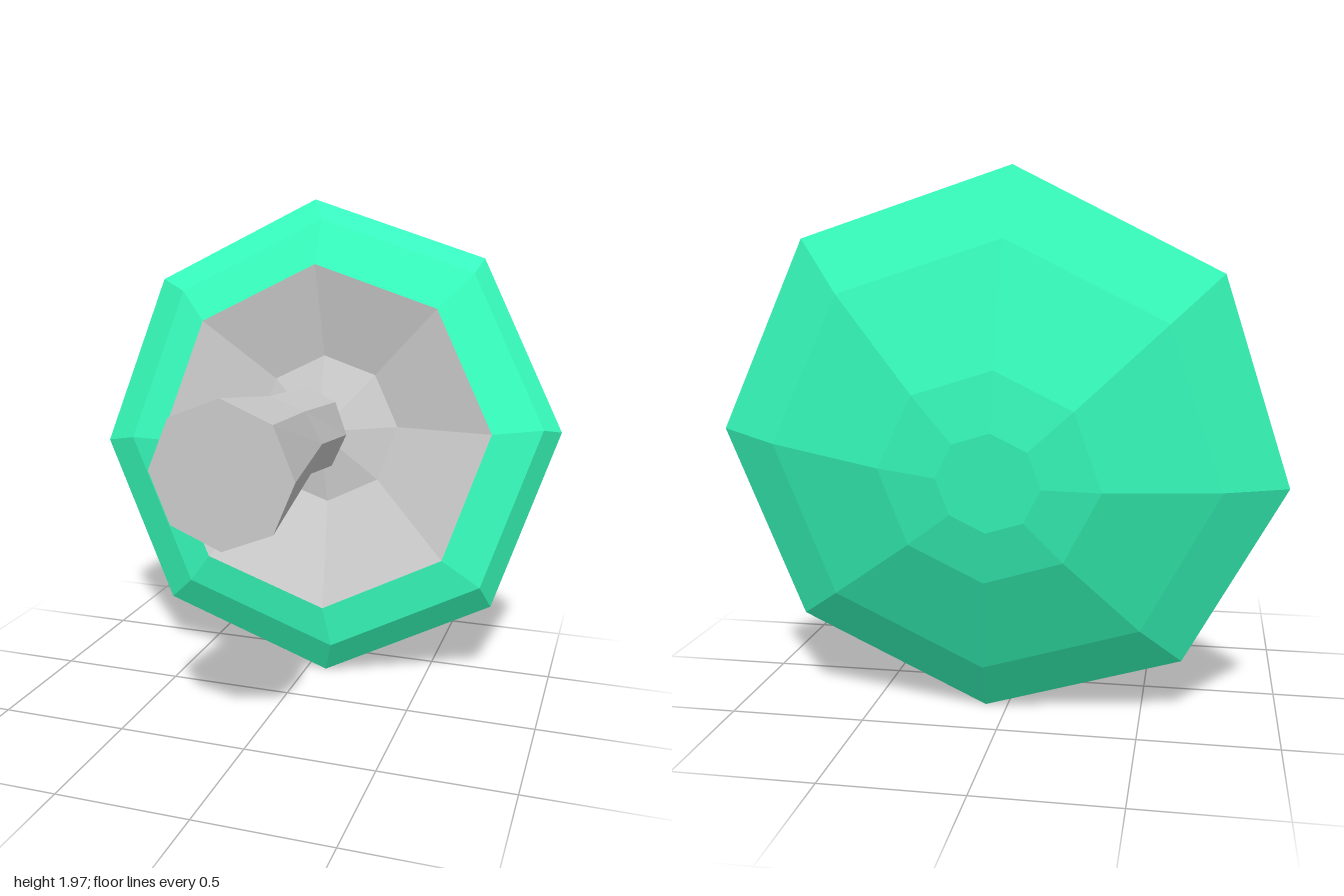
import * as THREE from 'three';

const SIDES = 8;

// Skin a row of octagonal rings, listed front to back.
// Each ring is [centre x, centre y, centre z, radius, z slope per unit of height].
function loft(rings, phase, closeFront, closeBack) {
  const pos = [], index = [];
  for (const [cx, cy, cz, r, slope] of rings) {
    for (let k = 0; k < SIDES; k++) {
      const a = phase + (k / SIDES) * Math.PI * 2;
      const dy = r * Math.sin(a) / Math.sqrt(1 + slope * slope);
      pos.push(cx + r * Math.cos(a), cy + dy, cz + slope * dy);
    }
  }
  for (let i = 0; i < rings.length - 1; i++) {
    for (let k = 0; k < SIDES; k++) {
      const n = (k + 1) % SIDES;
      const a = i * SIDES + k, b = i * SIDES + n;
      const d = a + SIDES, c = b + SIDES;
      index.push(a, d, b, b, d, c);
    }
  }
  const last = (rings.length - 1) * SIDES;
  for (let k = 1; k < SIDES - 1; k++) {
    if (closeFront) index.push(0, k, k + 1);
    if (closeBack) index.push(last, last + k + 1, last + k);
  }
  const geo = new THREE.BufferGeometry();
  geo.setAttribute('position', new THREE.Float32BufferAttribute(pos, 3));
  geo.setIndex(index);
  const flat = geo.toNonIndexed();
  flat.computeVertexNormals();
  return flat;
}

export function createModel() {
  const group = new THREE.Group();
  const grey = new THREE.MeshStandardMaterial({ color: 0xcccccc, flatShading: true });
  const green = new THREE.MeshStandardMaterial({ color: 0x37ffbd, flatShading: true });

  const add = (name, geometry, material) => {
    const mesh = new THREE.Mesh(geometry, material);
    mesh.name = name;
    group.add(mesh);
  };

  const tilt = -0.174;                // lean of the cap
  const turn = 4.7 * Math.PI / 180;   // turn of the cap about its axis
  const gillEdge = [0.04, 1.017, -0.285, 0.709, tilt];

  // Cap: inner lip, wide rim, then the dome closing at the back
  add('cap', loft([
    gillEdge,
    [0.055, 1.02, -0.343, 0.887, tilt],
    [0, 0.985, -0.45, 1.003, tilt],
    [0, 0.97, -0.565, 0.78, tilt],
    [-0.015, 0.955, -0.71, 0.375, tilt],
    [-0.02, 0.95, -0.745, 0.175, tilt],
  ], turn, false, true), green);

  // Underside: hollow, rising again towards the stem
  add('capUnderside', loft([
    [0.03, 1.03, -0.35, 0.06, tilt],
    [0.035, 1.03, -0.41, 0.307, tilt],
    gillEdge,
  ], turn, true, false), grey);

  // Stem: flared foot, slim waist, narrow neck inside the cap
  add('stem', loft([
    [0.035, 1.108, 0.78, 0.255, 0],
    [0.035, 1.115, 0.25, 0.182, 0.3],
    [0.03, 1.075, -0.11, 0.177, tilt],
    [0.03, 1.015, -0.38, 0.08, tilt],
  ], 0, true, true), grey);

  return group;
}
